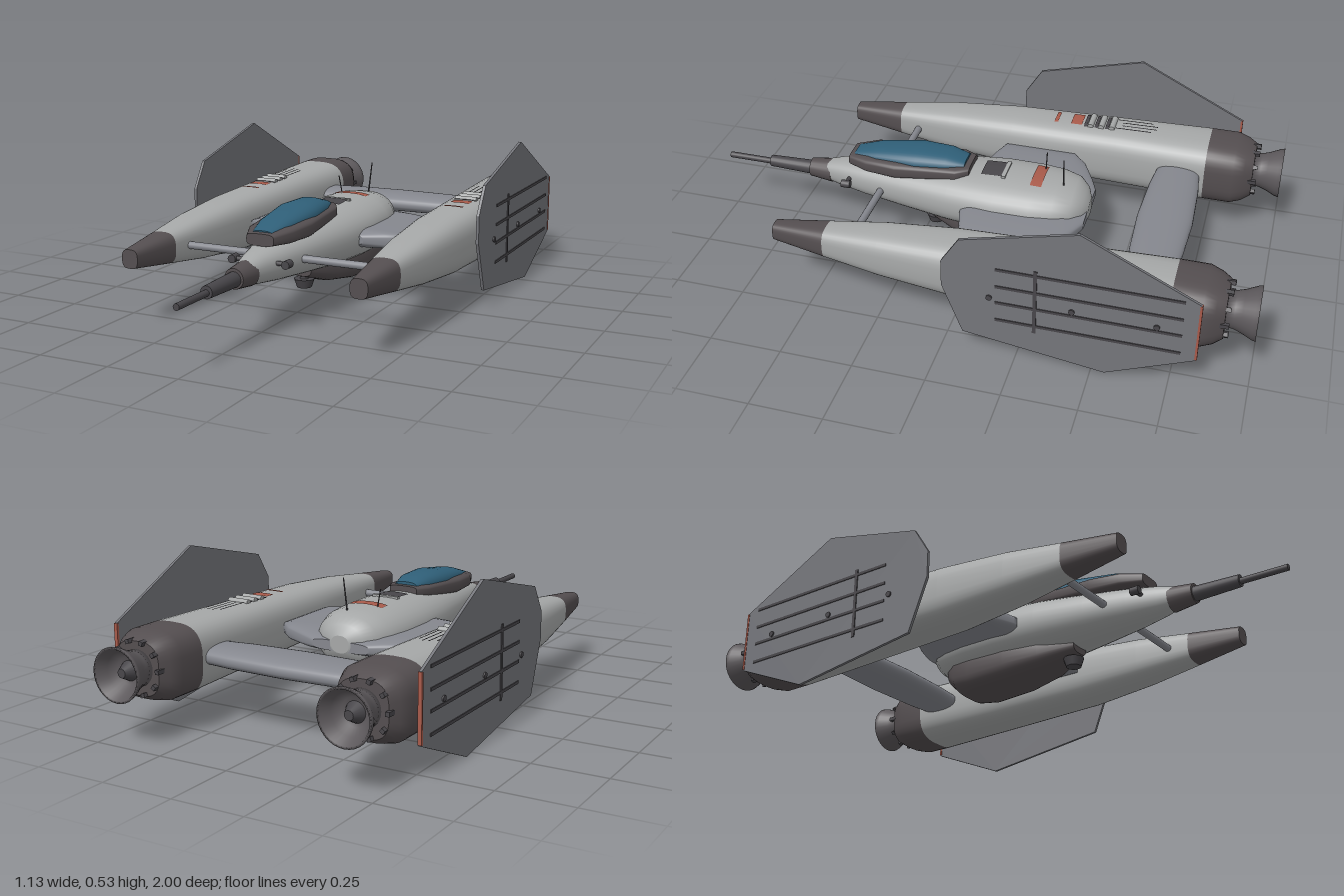
import * as THREE from 'three';

const mat = (name, color, side = THREE.FrontSide) => {
  const m = new THREE.MeshStandardMaterial({ color, side });
  m.name = name;
  return m;
};

// Closed body through superellipse sections [z, halfWidth, centreY, halfHeight], ordered front to back
function loft(sections, n = 2.5, sides = 36) {
  const pos = [], idx = [];
  const ring = ([z, w, cy, h]) => {
    for (let j = 0; j < sides; j++) {
      const a = (j / sides) * Math.PI * 2, c = Math.cos(a), s = Math.sin(a);
      pos.push(w * Math.sign(c) * Math.abs(c) ** (2 / n), cy + h * Math.sign(s) * Math.abs(s) ** (2 / n), z);
    }
  };
  sections.forEach(ring);
  for (let i = 0; i < sections.length - 1; i++) {
    for (let j = 0; j < sides; j++) {
      const a = i * sides + j, b = i * sides + (j + 1) % sides;
      idx.push(a, a + sides, b, b, a + sides, b + sides);
    }
  }
  [sections[0], sections[sections.length - 1]].forEach((s, end) => {
    const start = pos.length / 3;
    ring(s);
    pos.push(0, s[2], s[0]);
    for (let j = 0; j < sides; j++) {
      const a = start + j, b = start + (j + 1) % sides;
      idx.push(start + sides, end ? b : a, end ? a : b);
    }
  });
  const g = new THREE.BufferGeometry();
  g.setAttribute('position', new THREE.Float32BufferAttribute(pos, 3));
  g.setIndex(idx);
  g.computeVertexNormals();
  return g;
}

// Height of the upper skin of a lofted body
function topOf(sections, n, x, z) {
  let i = 0;
  while (i < sections.length - 2 && sections[i + 1][0] > z) i++;
  const [a, b] = [sections[i], sections[i + 1]], t = (a[0] - z) / (a[0] - b[0]);
  const [, w, cy, h] = a.map((v, k) => v + (b[k] - v) * t);
  return cy + h * Math.max(0, 1 - Math.abs(x / w) ** n) ** (1 / n);
}

// Painted panel that follows the upper skin
function patch(sections, n, x, z, w, d, lift = 0.003) {
  const g = new THREE.PlaneGeometry(w, d, 10, 4).rotateX(-Math.PI / 2).translate(x, 0, z);
  const p = g.attributes.position;
  for (let i = 0; i < p.count; i++) p.setY(i, topOf(sections, n, p.getX(i), p.getZ(i)) + lift);
  g.computeVertexNormals();
  return g;
}

const HULL = [[0.61, 0.036, 0.228, 0.036], [0.55, 0.052, 0.23, 0.05], [0.45, 0.078, 0.232, 0.064], [0.3, 0.108, 0.235, 0.08],
  [0.12, 0.14, 0.237, 0.097], [-0.05, 0.157, 0.238, 0.105], [-0.18, 0.155, 0.238, 0.105], [-0.26, 0.143, 0.238, 0.102],
  [-0.32, 0.118, 0.24, 0.09], [-0.355, 0.08, 0.24, 0.065], [-0.372, 0.035, 0.24, 0.03]];
const POD_NOSE = [[0.64, 0.03, 0.235, 0.032], [0.45, 0.056, 0.233, 0.055]];
const POD_BODY = [POD_NOSE[1], [0.25, 0.081, 0.232, 0.08], [0, 0.1, 0.23, 0.1], [-0.4, 0.11, 0.23, 0.11], [-0.73, 0.122, 0.23, 0.116]];
const POD_TAIL = [POD_BODY[4], [-0.83, 0.122, 0.23, 0.116], [-0.87, 0.105, 0.23, 0.105], [-0.9, 0.085, 0.232, 0.088]];

export function createModel() {
  const root = new THREE.Group();
  const M = {
    hull: mat('light grey hull', 0xa6a8a8),
    wing: mat('blue grey wing', 0x85878e),
    fin: mat('fin grey', 0x75767b),
    dark: mat('dark brown grey', 0x544e50),
    metal: mat('gun metal', 0x48464a),
    nozzle: mat('nozzle grey', 0x5c585b, THREE.DoubleSide),
    glass: mat('canopy blue', 0x2f5f78),
    red: mat('marking red', 0xa85a4a),
  };
  const add = (name, geo, m, parent = root, x = 0, y = 0, z = 0) => {
    const mesh = new THREE.Mesh(geo, m);
    mesh.name = name;
    mesh.position.set(x, y, z);
    parent.add(mesh);
    return mesh;
  };
  const box = (w, h, d) => new THREE.BoxGeometry(w, h, d);
  // Cylinders lying along z (first radius at the front) and along x
  const rodZ = (r0, r1, len) => new THREE.CylinderGeometry(r0, r1, len, 20).rotateX(Math.PI / 2);
  const rodX = (r, len) => new THREE.CylinderGeometry(r, r, len, 14).rotateZ(Math.PI / 2);

  // Fuselage, belly and shoulder wing
  add('fuselage', loft(HULL, 2.3), M.hull);
  add('belly', loft([[0.22, 0.04, 0.155, 0.03], [0.1, 0.09, 0.14, 0.055], [-0.03, 0.112, 0.132, 0.068],
    [-0.18, 0.115, 0.128, 0.073], [-0.25, 0.105, 0.135, 0.07], [-0.3, 0.07, 0.16, 0.05]], 3), M.dark);
  add('bellySensor', new THREE.CylinderGeometry(0.036, 0.026, 0.03, 16), M.metal, root, 0, 0.097, 0.195);
  add('bellySensorStem', new THREE.CylinderGeometry(0.015, 0.015, 0.06, 12), M.metal, root, 0, 0.14, 0.195);
  add('shoulderWing', loft([[0.06, 0.16, 0.232, 0.02], [0.035, 0.25, 0.232, 0.03], [0.01, 0.315, 0.232, 0.034],
    [-0.25, 0.315, 0.232, 0.034], [-0.3, 0.26, 0.232, 0.032], [-0.345, 0.17, 0.232, 0.026], [-0.37, 0.11, 0.232, 0.018]], 4), M.wing);
  const bar = add('rearCrossBar', loft([[0.33, 0.075, 0.235, 0.032], [0.2, 0.089, 0.235, 0.035], [0, 0.097, 0.235, 0.036],
    [-0.2, 0.089, 0.235, 0.035], [-0.33, 0.075, 0.235, 0.032]], 2.4), M.wing, root, 0, 0, -0.635);
  bar.rotation.y = Math.PI / 2;

  // Canopy
  add('canopyFrame', loft([[0.505, 0.05, 0.313, 0.02], [0.43, 0.082, 0.317, 0.028], [0.32, 0.095, 0.32, 0.032],
    [0.1, 0.08, 0.335, 0.024], [0.055, 0.055, 0.342, 0.016]], 4), M.dark);
  add('canopyGlass', loft([[0.488, 0.038, 0.328, 0.012], [0.4, 0.062, 0.332, 0.035], [0.25, 0.077, 0.338, 0.05],
    [0.14, 0.066, 0.343, 0.044], [0.075, 0.046, 0.35, 0.019]], 2.6), M.glass);

  // Fuselage top details
  add('dorsalIntake', patch(HULL, 2.3, 0, -0.025, 0.09, 0.075, 0.004), M.metal);
  add('intakeLip', box(0.1, 0.014, 0.014), M.hull, root, 0, 0.341, -0.068);
  add('dorsalMarking', patch(HULL, 2.3, 0, -0.188, 0.13, 0.04), M.red);
  const antenna = add('antenna', new THREE.CylinderGeometry(0.002, 0.003, 0.115, 6), M.metal, root, 0.034, 0.388, -0.28);
  antenna.rotation.z = -0.12;
  const shortAntenna = add('shortAntenna', new THREE.CylinderGeometry(0.002, 0.002, 0.09, 6), M.metal, root, -0.048, 0.358, -0.2);
  shortAntenna.rotation.z = 0.2;

  // Nose gun
  add('gunMount', rodZ(0.034, 0.044, 0.085), M.dark, root, 0, 0.225, 0.63);
  add('gunSleeve', rodZ(0.021, 0.026, 0.17), M.metal, root, 0, 0.223, 0.75);
  add('gunBarrel', rodZ(0.011, 0.011, 0.18), M.metal, root, 0, 0.221, 0.91);

  // Fin outline as (-z, y)
  const finShape = new THREE.Shape([[0, 0.25], [0.07, 0.07], [0.545, 0.004], [0.83, 0.125], [0.83, 0.345], [0.445, 0.535],
    [0.06, 0.44], [0, 0.345]].map(([u, v]) => new THREE.Vector2(u, v)));
  const finGeo = new THREE.ExtrudeGeometry(finShape, { depth: 0.01, bevelEnabled: false }).rotateY(Math.PI / 2).translate(-0.005, 0, 0);
  const bell = new THREE.LatheGeometry([[0.03, 0.91], [0.06, 0.9], [0.062, 0.925], [0.07, 0.95], [0.086, 0.985], [0.09, 1],
    [0.082, 1], [0.066, 0.965], [0.045, 0.94], [0, 0.935]].map(([r, y]) => new THREE.Vector2(r, y)), 32).rotateX(-Math.PI / 2);

  for (const s of [1, -1]) {
    const side = s > 0 ? 'left' : 'right';

    // Engine pod
    const pod = new THREE.Group();
    pod.name = side + 'EnginePod';
    pod.position.x = s * 0.41;
    root.add(pod);
    add('podNose', loft(POD_NOSE, 3), M.dark, pod);
    add('podBody', loft(POD_BODY, 3), M.hull, pod);
    add('podTail', loft(POD_TAIL, 3), M.dark, pod);
    add('nozzleBell', bell, M.nozzle, pod, 0, 0.234, 0);
    add('nozzleCore', rodZ(0.035, 0.015, 0.04), M.metal, pod, 0, 0.234, -0.955);
    for (let i = 0; i < 10; i++) {
      const a = (i / 10) * Math.PI * 2;
      const bolt = add('nozzleBolt', box(0.014, 0.014, 0.03), M.metal, pod, 0.088 * Math.cos(a), 0.234 + 0.088 * Math.sin(a), -0.9);
      bolt.rotation.z = a;
    }

    // Pod top markings, ribs and vents
    add('podMarking', patch(POD_BODY, 3, 0, -0.237, 0.07, 0.042), M.red, pod);
    add('podStripe', patch(POD_BODY, 3, 0, -0.16, 0.07, 0.014), M.red, pod);
    for (const z of [-0.29, -0.33, -0.37]) {
      add('podRibGap', patch(POD_BODY, 3, 0, z + 0.018, 0.085, 0.012), M.metal, pod);
      add('podRib', rodX(0.011, 0.08), M.hull, pod, 0, topOf(POD_BODY, 3, 0, z), z);
    }
    for (const x of [-0.03, -0.01, 0.01, 0.03]) {
      add('podVent', patch(POD_BODY, 3, x, -0.48 + Math.abs(x), 0.005, 0.13), M.metal, pod);
    }

    // Side fin with outer grooves, trailing edge marking and brackets
    const fin = new THREE.Group();
    fin.name = side + 'Fin';
    fin.position.x = s * 0.555;
    root.add(fin);
    add('finPanel', finGeo, M.fin, fin);
    for (const y of [0.348, 0.28, 0.215, 0.145]) add('finGroove', box(0.004, 0.01, 0.6), M.metal, fin, s * 0.006, y, -0.48);
    add('finSeam', box(0.004, 0.25, 0.012), M.metal, fin, s * 0.006, 0.243, -0.31);
    add('finMarking', box(0.013, 0.215, 0.008), M.red, fin, 0, 0.236, -0.829);
    for (const z of [-0.16, -0.43, -0.7]) {
      add('finBracket', rodX(0.01, 0.09), M.metal, fin, -s * 0.035, 0.232, z);
      add('finBracketPad', box(0.012, 0.03, 0.03), M.metal, fin, -s * 0.009, 0.232, z);
    }

    // Front strut and nose thruster
    add(side + 'FrontStrut', rodX(0.013, 0.28), M.wing, root, s * 0.22, 0.232, 0.375);
    add(side + 'NoseThrusterArm', rodX(0.008, 0.06), M.metal, root, s * 0.07, 0.243, 0.503);
    add(side + 'NoseThruster', rodZ(0.014, 0.014, 0.032), M.metal, root, s * 0.098, 0.243, 0.503);
  }
  return root;
}
